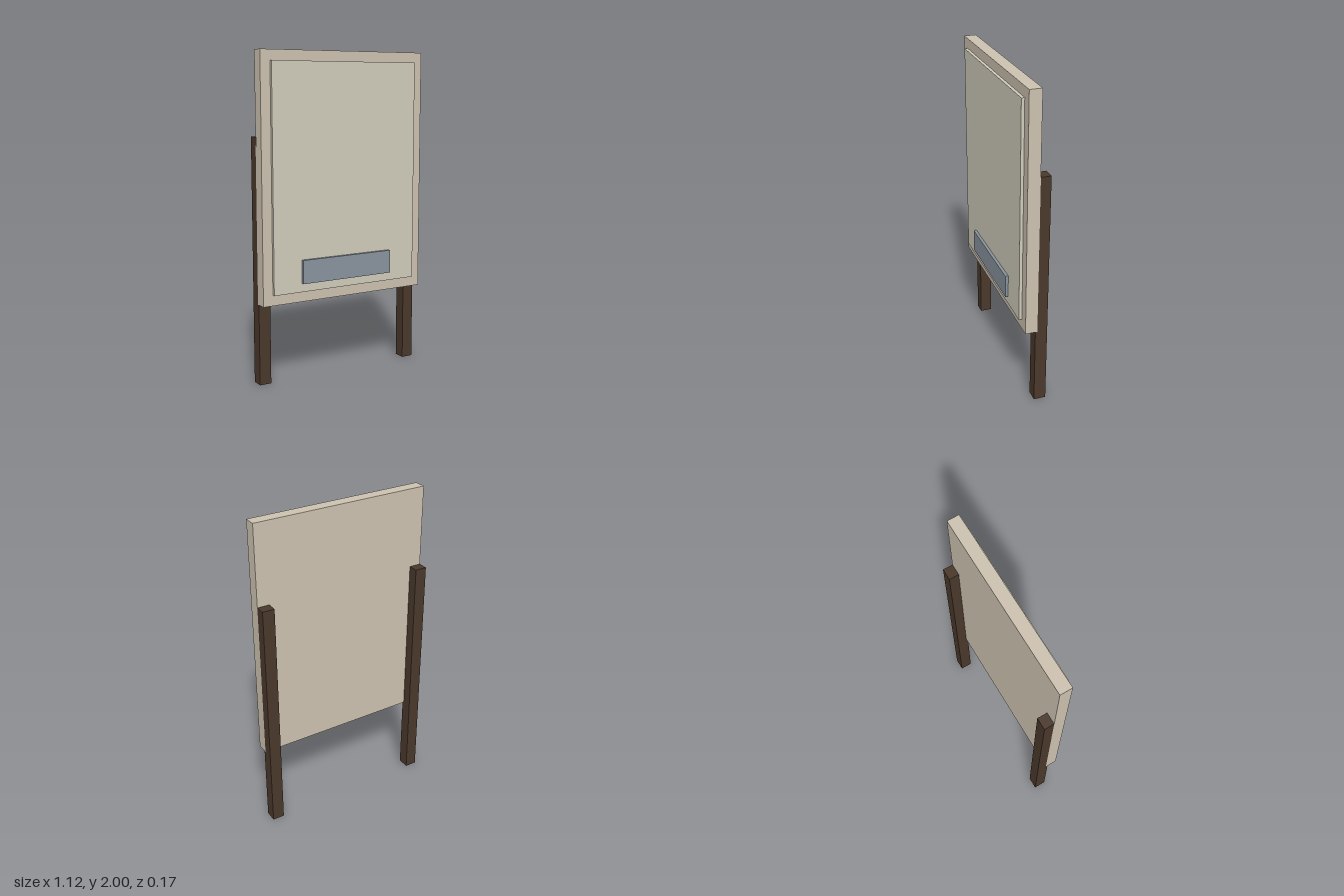
import * as THREE from 'three';

// Box given by its centre x, width, and y and z extents
function slab(name, color, x, width, [y0, y1], [z0, z1]) {
  const mesh = new THREE.Mesh(
    new THREE.BoxGeometry(width, y1 - y0, z1 - z0),
    new THREE.MeshStandardMaterial({ color })
  );
  mesh.position.set(x, (y0 + y1) / 2, (z0 + z1) / 2);
  mesh.name = name;
  return mesh;
}

export function createModel() {
  const sign = new THREE.Group();
  sign.name = 'signboard';

  // Layers from back to front: backing board, raised face panel, small plaque
  sign.add(slab('board', 0xcdc2b0, 0, 1.125, [0.5, 2], [-0.025, 0.05]));
  sign.add(slab('facePanel', 0xd0cdbb, 0, 1, [0.565, 1.9375], [0.05, 0.069]));
  sign.add(slab('plaque', 0x8a949e, 0, 0.625, [0.6175, 0.7625], [0.069, 0.0875]));

  // Posts, let slightly into the back of the board
  for (const [name, side] of [['leftPost', 1], ['rightPost', -1]]) {
    sign.add(slab(name, 0x4a382b, side * 0.525, 0.075, [0, 1.5], [-0.0875, -0.0125]));
  }
  return sign;
}
